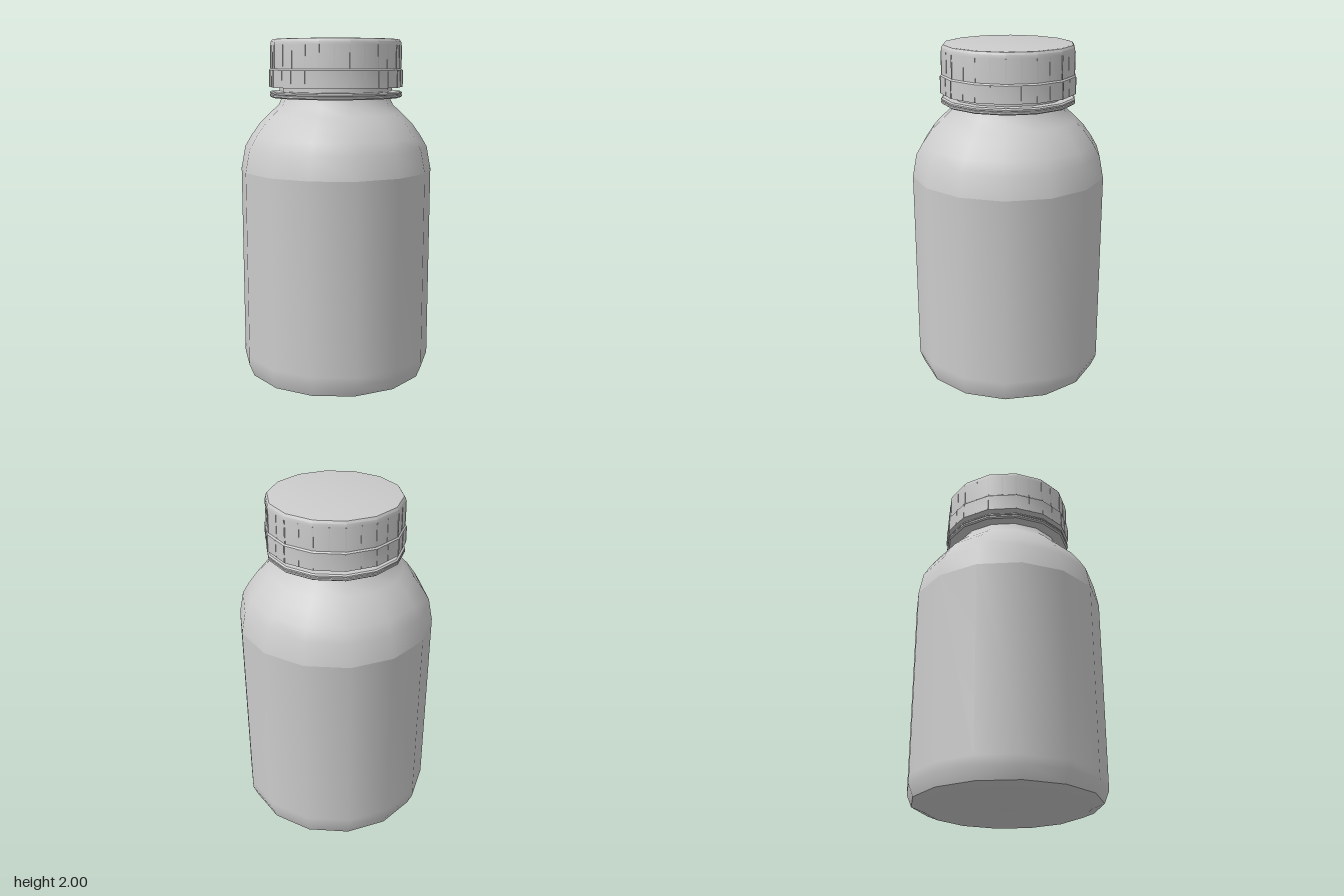
import * as THREE from 'three';
import { toCreasedNormals } from 'three/addons/utils/BufferGeometryUtils.js';

const SIDES = 14;
const grey = new THREE.MeshStandardMaterial({ color: 0xcccccc });

// Turned part: profile of [radius, y] pairs, ordered so that faces point outward
function turned(name, profile, crease = 0.6) {
  const points = profile.map(([r, y]) => new THREE.Vector2(r, y));
  const geometry = toCreasedNormals(new THREE.LatheGeometry(points, SIDES), crease);
  const mesh = new THREE.Mesh(geometry, grey);
  mesh.name = name;
  return mesh;
}

export function createModel() {
  const model = new THREE.Group();
  model.name = 'bottle';

  // Container
  const container = new THREE.Group();
  container.name = 'container';
  container.add(
    turned('base', [[0, 0], [0.463, 0], [0.535, 0.03]]),
    turned('body', [[0.535, 0.03], [0.563, 0.1], [0.563, 0.15], [0.563, 1.25]]),
    turned('shoulder', [
      [0.563, 1.25], [0.538, 1.38], [0.5, 1.445], [0.45, 1.515],
      [0.39, 1.575], [0.335, 1.625], [0.31, 1.68],
    ]),
    turned('neckRing', [
      [0.29, 1.668], [0.378, 1.668], [0.387, 1.675], [0.387, 1.684],
      [0.381, 1.687], [0.387, 1.69], [0.387, 1.698], [0.378, 1.705], [0.3, 1.705],
    ]),
    turned('neck', [[0.33, 1.7], [0.33, 1.76]]),
  );

  // Screw cap with a slightly wider lower band
  const cap = new THREE.Group();
  cap.name = 'cap';
  cap.add(
    turned('capBand', [[0.3, 1.728], [0.389, 1.728], [0.389, 1.826], [0.381, 1.834]]),
    turned('capShell', [[0.381, 1.834], [0.381, 1.965], [0.379, 1.985], [0.37, 1.998], [0.36, 2], [0, 2]]),
  );

  // Grip ribs at every corner and at the middle of every facet
  const ribs = new THREE.Group();
  ribs.name = 'gripRibs';
  const apothem = Math.cos(Math.PI / SIDES);
  for (let i = 0; i < SIDES * 2; i++) {
    const angle = (i * Math.PI) / SIDES;
    const scale = i % 2 ? apothem : 1;
    for (const [radius, low, high] of [[0.389, 1.73, 1.825], [0.381, 1.835, 1.965]]) {
      const rib = new THREE.Mesh(new THREE.BoxGeometry(0.007, high - low, 0.008), grey);
      rib.name = 'gripRib';
      const r = radius * scale - 0.002;
      rib.position.set(r * Math.sin(angle), (low + high) / 2, r * Math.cos(angle));
      rib.rotation.y = angle;
      ribs.add(rib);
    }
  }
  cap.add(ribs);

  model.add(container, cap);
  return model;
}
